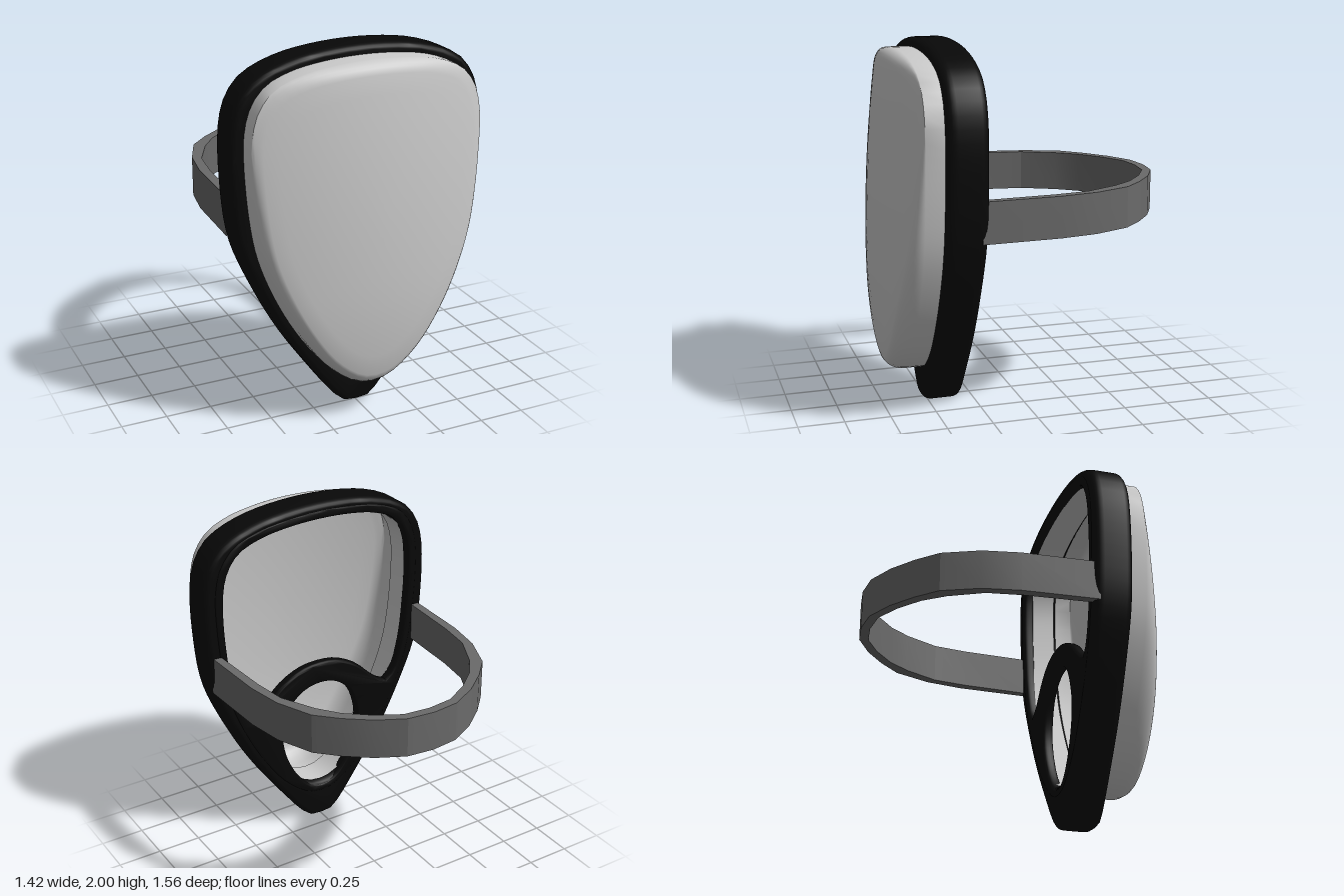
import * as THREE from 'three';
import { toCreasedNormals } from 'three/addons/utils/BufferGeometryUtils.js';

const CENTRE_Y = 1.15;

// Half outlines on the +x side, from top centre to bottom centre
const RIM = [
  [0, 2], [0.2, 1.99], [0.36, 1.965], [0.5, 1.92], [0.6, 1.86], [0.67, 1.76],
  [0.7, 1.65], [0.71, 1.5], [0.7, 1.25], [0.68, 1.08], [0.645, 0.95], [0.52, 0.67],
  [0.4, 0.45], [0.255, 0.235], [0.12, 0.055], [0.07, 0.012], [0, 0.005],
];
const LENS = [
  [0, 1.95], [0.2, 1.94], [0.38, 1.91], [0.52, 1.85], [0.6, 1.75], [0.635, 1.62],
  [0.64, 1.5], [0.62, 1.2], [0.58, 0.97], [0.5, 0.75], [0.38, 0.52], [0.25, 0.34],
  [0.12, 0.23], [0.05, 0.2], [0, 0.195],
];
const EYES = [
  [0, 1.91], [0.2, 1.9], [0.37, 1.87], [0.5, 1.81], [0.57, 1.7], [0.595, 1.52],
  [0.585, 1.25], [0.555, 1.02], [0.5, 0.85], [0.455, 0.8], [0.37, 0.85],
  [0.25, 0.96], [0.12, 1.025], [0, 1.04],
];
const NOSE = [
  [0, 0.91], [0.1, 0.89], [0.19, 0.82], [0.24, 0.7], [0.25, 0.58], [0.21, 0.43],
  [0.13, 0.295], [0.06, 0.235], [0, 0.225],
];

// Smooth closed loop, counter-clockwise, scaled about the mask centre
function outline(half, count, scale = 1) {
  const mirrored = half.slice(1, -1).reverse().map(([x, y]) => [-x, y]);
  const pts = [...half, ...mirrored].map(([x, y]) => new THREE.Vector3(x, y, 0));
  const curve = new THREE.CatmullRomCurve3(pts, true, 'centripetal');
  return curve.getSpacedPoints(count).slice(0, -1).reverse()
    .map((p) => new THREE.Vector2(p.x * scale, CENTRE_Y + (p.y - CENTRE_Y) * scale));
}

function addMesh(group, name, geometry, color, side = THREE.FrontSide) {
  const mesh = new THREE.Mesh(geometry, new THREE.MeshStandardMaterial({ color, side }));
  mesh.name = name;
  group.add(mesh);
}

// Flat piece with rounded edges between two depths
function roundedPlate(outer, holes, back, front, size, thickness) {
  const shape = new THREE.Shape(outer);
  shape.holes.push(...holes.map((hole) => new THREE.Path(hole)));
  const geometry = new THREE.ExtrudeGeometry(shape, {
    depth: front - back - 2 * thickness, bevelThickness: thickness,
    bevelSize: size, bevelOffset: -size, bevelSegments: 5,
  });
  geometry.translate(0, 0, back + thickness);
  return toCreasedNormals(geometry, 0.8);
}

// Hollow domed lens: seat inside the rim, wall, rounded edge, front surface
function lensGeometry() {
  const loop = outline(LENS, 80);
  const wallTop = 0.63;
  const front = (x, y) => 0.78 - 0.24 * x * x - (y < 0.75 ? 0.15 : 0.06) * (y - 0.75) ** 2;
  // each ring: scale, depth, blend towards the front surface
  const rings = [[0.945, 0.35, 0], [0.945, 0.51, 0], [1, 0.51, 0], [1, wallTop, 0]];
  for (let i = 1; i <= 6; i++) {
    const a = (i / 6) * Math.PI / 2;
    rings.push([1 - 0.08 * (1 - Math.cos(a)), wallTop, Math.sin(a)]);
  }
  for (const s of [0.8, 0.65, 0.5, 0.35, 0.2, 0.08]) rings.push([s, wallTop, 1]);

  const positions = [];
  const index = [];
  const n = loop.length;
  rings.forEach(([s, depth, blend], r) => {
    loop.forEach((p, i) => {
      const x = p.x * s;
      const y = CENTRE_Y + (p.y - CENTRE_Y) * s;
      positions.push(x, y, THREE.MathUtils.lerp(depth, front(x, y), blend));
      if (r === 0) return;
      const j = (i + 1) % n;
      const a = (r - 1) * n + i, b = (r - 1) * n + j, c = r * n + j, d = r * n + i;
      index.push(a, b, c, a, c, d);
    });
  });
  // close the middle of the front
  const last = (rings.length - 1) * n;
  positions.push(0, CENTRE_Y, front(0, CENTRE_Y));
  for (let i = 0; i < n; i++) index.push(last + i, last + (i + 1) % n, last + n);

  const geometry = new THREE.BufferGeometry();
  geometry.setAttribute('position', new THREE.Float32BufferAttribute(positions, 3));
  geometry.setIndex(index);
  return toCreasedNormals(geometry, 0.9);
}

// Flat head band, drawn from above and extruded upward
function strapGeometry() {
  const outer = [[0.672, 0.35], [0.655, -0.07], [0.62, -0.275], [0.537, -0.475],
    [0.43, -0.585], [0.3, -0.688], [0.15, -0.766], [0, -0.783]];
  const inner = [[0.627, 0.35], [0.604, -0.05], [0.577, -0.24], [0.486, -0.425],
    [0.4, -0.54], [0.277, -0.642], [0.142, -0.717], [0, -0.733]];
  const arc = (half) => [...half, ...half.slice(0, -1).reverse().map(([x, z]) => [-x, z])];
  const points = [...arc(outer), ...arc(inner).reverse()].map(([x, z]) => new THREE.Vector2(x, -z));
  const geometry = new THREE.ExtrudeGeometry(new THREE.Shape(points), { depth: 0.22, bevelEnabled: false });
  geometry.rotateX(-Math.PI / 2);
  geometry.translate(0, 1.03, 0);
  return toCreasedNormals(geometry, 0.3);
}

export function createModel() {
  const group = new THREE.Group();
  group.name = 'divingMask';
  const rubber = 0x080808;
  addMesh(group, 'frameRim',
    roundedPlate(outline(RIM, 80), [outline(LENS, 80, 0.95)], 0.32, 0.53, 0.03, 0.05), rubber);
  // thin back skirt with the eye opening and the nose opening
  addMesh(group, 'backSkirt',
    roundedPlate(outline(LENS, 80, 1.02), [outline(EYES, 80), outline(NOSE, 48)], 0.316, 0.38, 0.015, 0.025), rubber);
  addMesh(group, 'lens', lensGeometry(), 0xcccccc, THREE.DoubleSide);
  addMesh(group, 'strap', strapGeometry(), 0x6a6a6a);
  return group;
}
